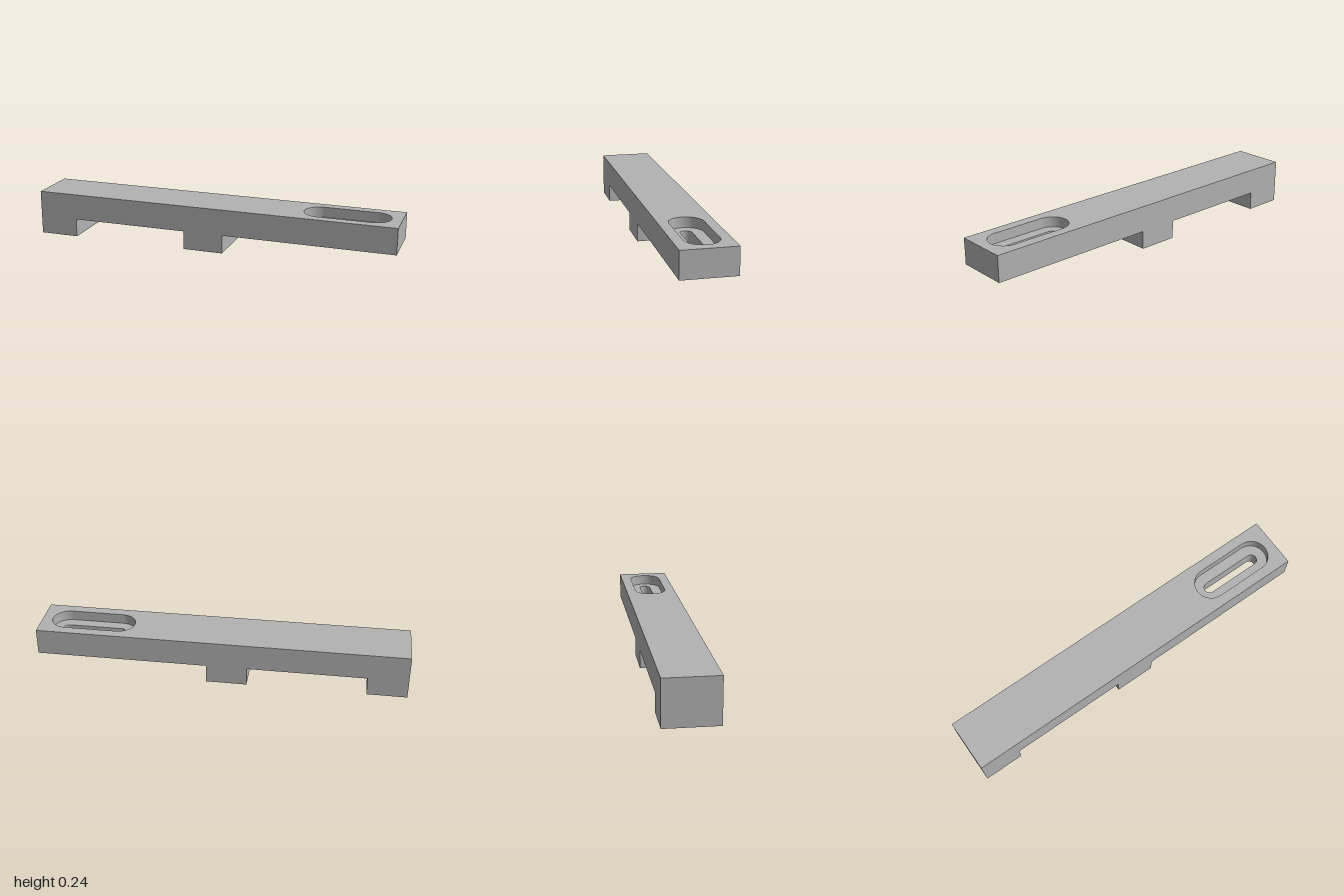
import * as THREE from 'three';

const HALF_DEPTH = 0.142, TOP = 0.242, UNDER = 0.1, FLOOR = 0.187;
const SLOT_X = 0.715;

// Points of a rounded slot, counter-clockwise
function slotPoints(halfLength, radius, steps = 20) {
  const points = [];
  for (const side of [1, -1]) {
    for (let i = 0; i <= steps; i++) {
      const a = (i / steps - 0.5) * Math.PI;
      points.push(new THREE.Vector2(
        SLOT_X + side * (halfLength - radius + Math.cos(a) * radius),
        side * Math.sin(a) * radius));
    }
  }
  return points;
}

// Wall swept from a line of points along an offset
function ribbon(points, offset) {
  const positions = [], index = [];
  points.forEach((p, i) => {
    const q = p.clone().add(offset);
    positions.push(p.x, p.y, p.z, q.x, q.y, q.z);
    if (i) {
      const a = 2 * i - 2;
      index.push(a, a + 1, a + 3, a, a + 3, a + 2);
    }
  });
  const geometry = new THREE.BufferGeometry();
  geometry.setAttribute('position', new THREE.Float32BufferAttribute(positions, 3));
  geometry.setIndex(index);
  geometry.computeVertexNormals();
  return geometry;
}

// Horizontal face with a slot cut through it
function slottedFace(outline, hole, y, facesUp) {
  const shape = new THREE.Shape(outline);
  shape.holes.push(new THREE.Path(hole));
  return new THREE.ShapeGeometry(shape)
    .rotateX(facesUp ? -Math.PI / 2 : Math.PI / 2)
    .translate(0, y, 0);
}

function rectangle(x0, x1) {
  return [[x0, -HALF_DEPTH], [x1, -HALF_DEPTH], [x1, HALF_DEPTH], [x0, HALF_DEPTH]]
    .map(([x, y]) => new THREE.Vector2(x, y));
}

// Inward-facing wall around a slot
function slotWall(points, y0, y1) {
  const loop = [...points, points[0]].map(p => new THREE.Vector3(p.x, y0, -p.y));
  return ribbon(loop, new THREE.Vector3(0, y1 - y0, 0));
}

export function createModel() {
  const model = new THREE.Group();
  model.name = 'slottedClampBar';
  const grey = new THREE.MeshStandardMaterial({ color: 0xb2b2b2 });
  grey.name = 'grey';

  const add = (name, geometry, parent = model) => {
    const mesh = new THREE.Mesh(geometry, grey);
    mesh.name = name;
    parent.add(mesh);
  };

  // Side profile: bar with an end foot and a middle foot
  const profile = [
    [-1, 0], [-0.785, 0], [-0.785, UNDER], [-0.145, UNDER], [-0.145, 0],
    [0.075, 0], [0.075, UNDER], [1, UNDER], [1, TOP], [-1, TOP],
  ].map(([x, y]) => new THREE.Vector2(x, y));
  const TIP_UNDERSIDE = 6, TOP_EDGE = 8;

  const bar = new THREE.Group();
  bar.name = 'bar';
  model.add(bar);
  const side = new THREE.ShapeGeometry(new THREE.Shape(profile));
  add('frontFace', side.clone().translate(0, 0, HALF_DEPTH), bar);
  add('backFace', side.clone().rotateY(Math.PI).scale(1, 1, 1)
    .copy(new THREE.ShapeGeometry(new THREE.Shape(profile.map(p => new THREE.Vector2(-p.x, p.y)))))
    .rotateY(Math.PI).translate(0, 0, -HALF_DEPTH), bar);

  // Ends, feet and plain undersides; the two slotted faces are made below
  profile.forEach((a, i) => {
    if (i === TIP_UNDERSIDE || i === TOP_EDGE) return;
    const b = profile[(i + 1) % profile.length];
    const edge = [a, b].map(p => new THREE.Vector3(p.x, p.y, HALF_DEPTH));
    add('barFace', ribbon(edge, new THREE.Vector3(0, 0, -2 * HALF_DEPTH)), bar);
  });

  // Wide recess in the top with a narrow slot through its floor
  const recess = slotPoints(0.23, 0.088);
  const slot = slotPoints(0.175, 0.03);
  add('topFace', slottedFace(rectangle(-1, 1), recess, TOP, true), bar);
  add('tipUnderside', slottedFace(rectangle(0.075, 1), slot, UNDER, false), bar);
  add('recessFloor', slottedFace(recess, slot, FLOOR, true));
  add('recessWall', slotWall(recess, FLOOR, TOP));
  add('slotWall', slotWall(slot, UNDER, FLOOR));

  return model;
}
